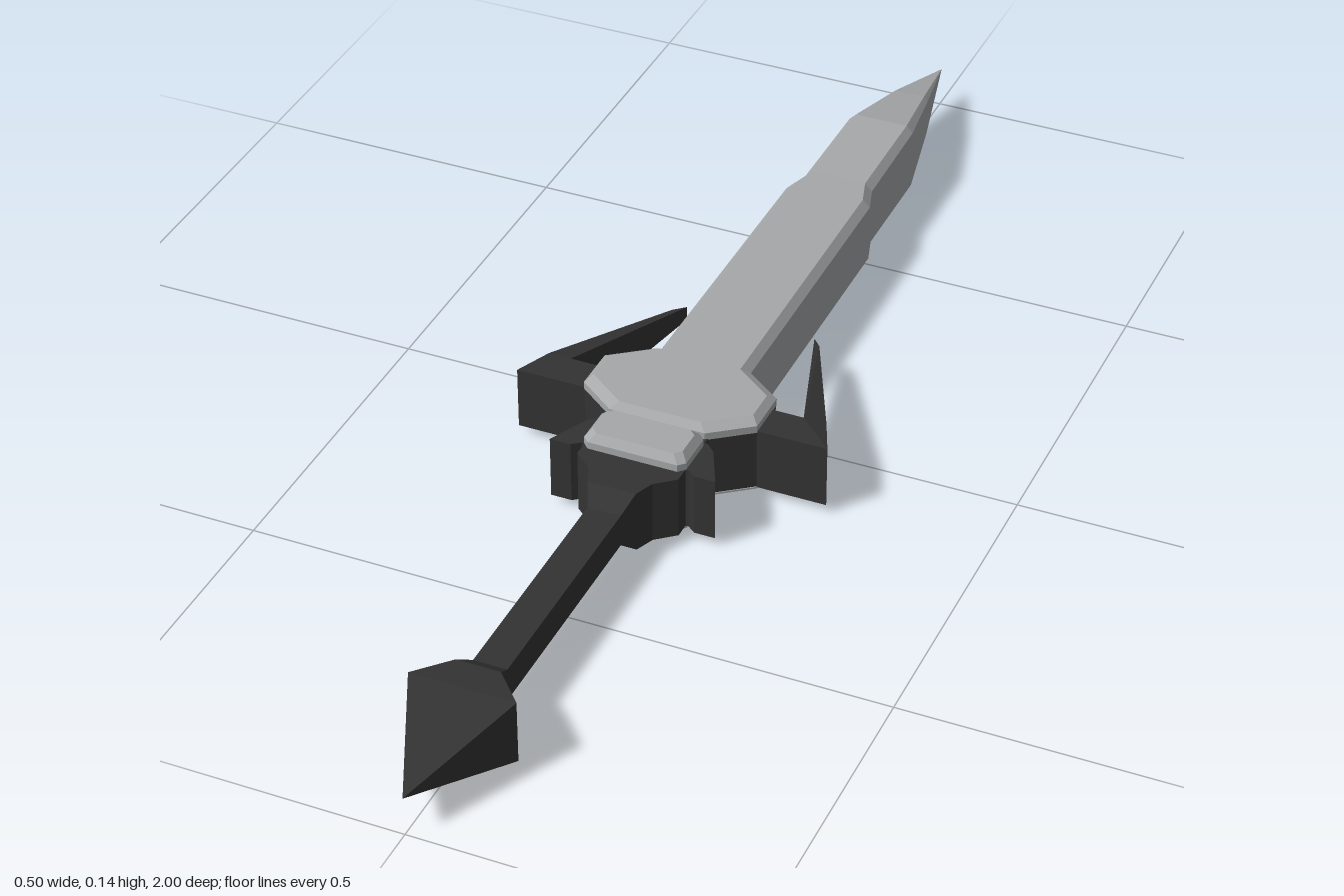
import * as THREE from 'three';

const steel = new THREE.MeshStandardMaterial({ color: 0xa6a8a9 });
steel.name = 'steel grey';
const dark = new THREE.MeshStandardMaterial({ color: 0x333333 });
dark.name = 'charcoal';
const MID = 0.064;

// Flat-faced skin over a series of rings, each counterclockwise and ordered by rising z
function loft(rings) {
  const pos = [];
  const tri = (a, b, c) => pos.push(...a, ...b, ...c);
  const n = rings[0].length;
  for (let i = 0; i < rings.length - 1; i++) {
    for (let j = 0; j < n; j++) {
      const k = (j + 1) % n;
      const a = rings[i][j], b = rings[i][k], c = rings[i + 1][j], d = rings[i + 1][k];
      tri(a, b, c);
      tri(b, d, c);
    }
  }
  const first = rings[0], last = rings[rings.length - 1];
  for (let j = 1; j < n - 1; j++) {
    tri(first[0], first[j + 1], first[j]);
    tri(last[0], last[j], last[j + 1]);
  }
  const g = new THREE.BufferGeometry();
  g.setAttribute('position', new THREE.Float32BufferAttribute(pos, 3));
  g.computeVertexNormals();
  return g;
}

// Rectangle with cut corners: half sizes w and h, cuts cx and cy
function octagon(w, h, cx, cy, z) {
  return [
    [w, -h + cy, z], [w, h - cy, z], [w - cx, h, z], [-w + cx, h, z],
    [-w, h - cy, z], [-w, -h + cy, z], [-w + cx, -h, z], [w - cx, -h, z],
  ];
}

const rectangle = (w, h, z) => [[w, -h, z], [w, h, z], [-w, h, z], [-w, -h, z]];

// Horizontal slab with cut corners, built from [height, inset] levels
function slab(w, d, cx, cz, zCentre, levels) {
  const g = loft(levels.map(([y, inset]) => octagon(w - inset, d - inset, cx, cz, y)));
  return g.rotateX(-Math.PI / 2).translate(0, 0, zCentre);
}

// Vertical-sided plate from an (x, z) outline, spanning the guard's thickness
function prism(outline) {
  const shape = new THREE.Shape(outline.map(([x, z]) => new THREE.Vector2(x, z)));
  const g = new THREE.ExtrudeGeometry(shape, { depth: 0.102, bevelEnabled: false });
  return g.rotateX(Math.PI / 2).translate(0, 0.051, 0);
}

export function createModel() {
  const group = new THREE.Group();
  const add = (name, geometry, material) => {
    const mesh = new THREE.Mesh(geometry, material);
    mesh.name = name;
    group.add(mesh);
    return mesh;
  };

  // Blade: z, half width, half height, chamfer
  const blade = [
    [-1, 0.0006, 0.0006, 0.0002], [-0.85, 0.032, 0.038, 0.007],
    [-0.72, 0.055, 0.061, 0.011], [-0.535, 0.057, 0.06, 0.012],
    [-0.49, 0.071, 0.06, 0.012], [0.05, 0.074, 0.06, 0.012],
  ].map(([z, w, h, c]) => octagon(w, h, c, c, z));
  add('blade', loft(blade).translate(0, 0.067, 0), steel);

  // Grip with flared neck and pointed pommel: z, half width, half height
  const grip = [
    [0.15, 0.08, 0.0505], [0.28, 0.08, 0.0505], [0.305, 0.05, 0.0505],
    [0.335, 0.038, 0.0505], [0.362, 0.026, 0.026], [0.735, 0.026, 0.026],
    [0.77, 0.034, 0.051], [0.82, 0.081, 0.051], [1, 0.0005, 0.0005],
  ].map(([z, w, h]) => rectangle(w, h, z));
  add('gripAndPommel', loft(grip).translate(0, MID, 0), dark);

  // Guard core between the two emblem plates
  add('guardCore', slab(0.138, 0.083, 0.063, 0.047, 0.092, [[0.013, 0], [0.115, 0]]), dark);

  // Bevelled plates above and below the guard
  const emblem = levels => slab(0.139, 0.084, 0.063, 0.047, 0.092, levels);
  add('emblemTop', emblem([[0.113, 0], [0.125, 0], [0.135, 0.011]]), steel);
  add('emblemBottom', emblem([[0.003, 0.011], [0.011, 0], [0.014, 0]]), steel);
  const collar = levels => slab(0.081, 0.041, 0.01, 0.01, 0.223, levels);
  add('collarPlateTop', collar([[0.113, 0], [0.126, 0], [0.138, 0.01]]), steel);
  add('collarPlateBottom', collar([[0, 0.01], [0.009, 0], [0.014, 0]]), steel);

  for (const side of [1, -1]) {
    const label = side > 0 ? 'left' : 'right';
    const mirrored = points => points.map(([x, z]) => [x * side, z]);

    // Forward-sweeping prong, thinning toward its tip
    const prong = prism(mirrored([
      [0.12, 0.128], [0.249, 0.128], [0.224, 0.07], [0.122, -0.155],
      [0.106, -0.175], [0.188, 0.07], [0.12, 0.07],
    ]));
    const p = prong.attributes.position;
    for (let i = 0; i < p.count; i++) {
      const t = THREE.MathUtils.clamp((0.07 - p.getZ(i)) / 0.245, 0, 1);
      p.setY(i, p.getY(i) * (1 - 0.77 * t));
    }
    const flat = prong.index ? prong.toNonIndexed() : prong;
    flat.computeVertexNormals();
    add(label + 'Prong', flat.translate(0, MID, 0), dark);

    // Collar fin flaring toward the grip
    const fin = prism(mirrored([
      [0.05, 0.185], [0.085, 0.185], [0.1, 0.2], [0.131, 0.265], [0.098, 0.265],
      [0.085, 0.255], [0.05, 0.255],
    ]));
    add(label + 'CollarFin', fin.translate(0, MID, 0), dark);
  }
  return group;
}
